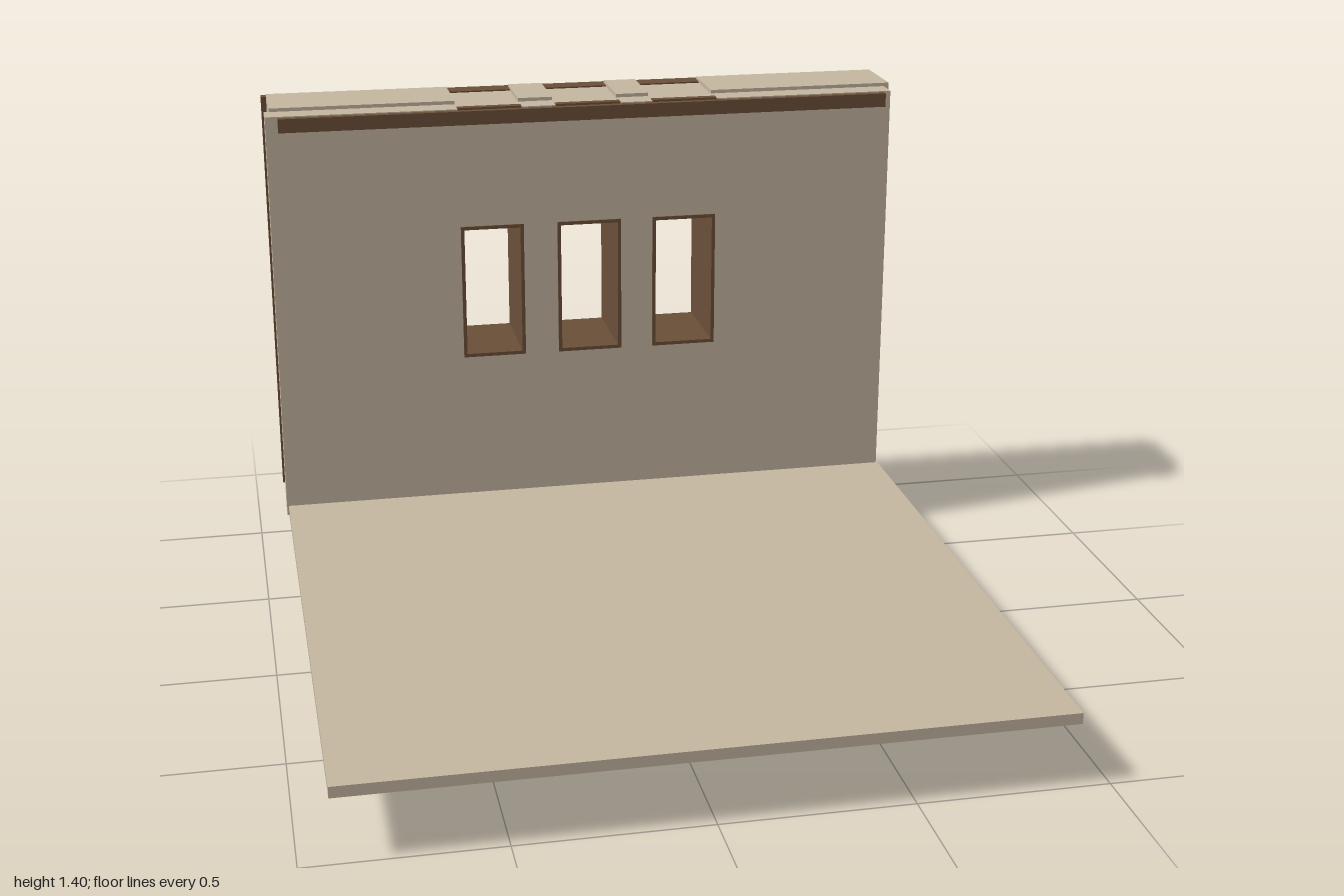
import * as THREE from 'three';

export function createModel() {
  const model = new THREE.Group();
  const plaster = new THREE.MeshStandardMaterial({ color: 0xc6b8a2 });
  plaster.name = 'plaster';
  const wood = new THREE.MeshStandardMaterial({ color: 0x6b5039 });
  wood.name = 'wood';

  // Box given by its limits on each axis
  function box(name, mat, x0, x1, y0, y1, z0, z1, parent = model) {
    const mesh = new THREE.Mesh(new THREE.BoxGeometry(x1 - x0, y1 - y0, z1 - z0), mat);
    mesh.position.set((x0 + x1) / 2, (y0 + y1) / 2, (z0 + z1) / 2);
    mesh.name = name;
    parent.add(mesh);
    return mesh;
  }
  function group(name) {
    const g = new THREE.Group();
    g.name = name;
    model.add(g);
    return g;
  }

  const windows = [[-0.38, -0.195], [-0.095, 0.095], [0.19, 0.38]];
  const sill = 0.64, head = 1.04;

  // Floor slab
  box('floor', plaster, -0.92, 0.915, 0.175, 0.205, -0.72, 1);

  // Front wall skin with three window holes
  const skin = new THREE.Shape();
  skin.moveTo(-0.925, 0.175).lineTo(0.91, 0.175).lineTo(0.91, 1.388).lineTo(-0.925, 1.388).closePath();
  for (const [a, b] of windows) {
    const hole = new THREE.Path();
    hole.moveTo(a, sill).lineTo(a, head).lineTo(b, head).lineTo(b, sill).closePath();
    skin.holes.push(hole);
  }
  const frontWall = new THREE.Mesh(
    new THREE.ExtrudeGeometry(skin, { depth: 0.07, bevelEnabled: false }), plaster);
  frontWall.position.z = -0.777;
  frontWall.name = 'frontWall';
  model.add(frontWall);

  // Thick rear wall: tall piers, with lower infill above and below each window
  const rearWall = group('rearWall');
  for (const [a, b] of [[-0.91, -0.38], [-0.195, -0.095], [0.095, 0.19], [0.38, 0.925]])
    box('pier', plaster, a, b, 0.168, 1.398, -0.975, -0.775, rearWall);
  for (const [a, b] of windows) {
    box('infillBelow', plaster, a, b, 0.176, sill, -0.974, -0.777, rearWall);
    box('infillAbove', plaster, a, b, head, 1.386, -0.974, -0.777, rearWall);
    box('backCap', wood, a, b, 1.384, 1.39, -0.976, -0.94, rearWall);
    box('frontCap', wood, a, b, 1.385, 1.391, -0.73, -0.706, rearWall);
  }

  // Wooden linings through the window openings
  const t = 0.01;
  for (const [a, b] of windows) {
    const lining = group('windowLining');
    box('jamb', wood, a, a + t, sill, head, -0.976, -0.703, lining);
    box('jamb', wood, b - t, b, sill, head, -0.976, -0.703, lining);
    box('sill', wood, a + t, b - t, sill, sill + t, -0.976, -0.703, lining);
    box('head', wood, a + t, b - t, head - t, head, -0.976, -0.703, lining);
  }

  // Moulding along the top of the front wall
  box('topMoulding', wood, -0.89, 0.89, 1.345, 1.385, -0.72, -0.687);

  // Fretwork on the back: one quarter as a grid, mirrored both ways
  const lattice = group('backLattice');
  const X0 = -0.925, X1 = 0.905, Y0 = 0.175, Y1 = 1.39;
  const rows = [
    '#########',
    '#..#..#..',
    '#.##..##.',
    '#.#..###.',
    '#..###.##',
    '##..#..##',
    '#..###.##',
    '#.##..###',
    '#.#..###.',
    '#....#...',
    '#.#######',
  ];
  const rowCount = rows.length * 2 - 1;
  const h = (Y1 - Y0) / rowCount, w = 0.058;
  for (let r = 0; r < rowCount; r++) {
    const row = rows[Math.min(r, rowCount - 1 - r)];
    const y = Y1 - (r + 1) * h;
    if (row === rows[0]) {
      box('rail', wood, X0, X1, y, y + h, -1, -0.974, lattice);
      continue;
    }
    for (const run of row.matchAll(/#+/g)) {
      const a = run.index * w, b = (run.index + run[0].length) * w;
      box('fret', wood, X0 + a, X0 + b, y, y + h, -1, -0.974, lattice);
      box('fret', wood, X1 - b, X1 - a, y, y + h, -1, -0.974, lattice);
    }
  }
  // Short bars linking the windows on the back
  for (const [a, b] of [[-0.41, -0.38], [-0.195, -0.095], [0.095, 0.19], [0.38, 0.4]])
    box('linkBar', wood, a, b, 0.7, 0.755, -1, -0.974, lattice);

  // Legs
  for (const x of [-0.702, -0.238, 0.218, 0.678])
    box('leg', wood, x - 0.027, x + 0.027, 0, 0.17, -0.975, -0.87);

  return model;
}
